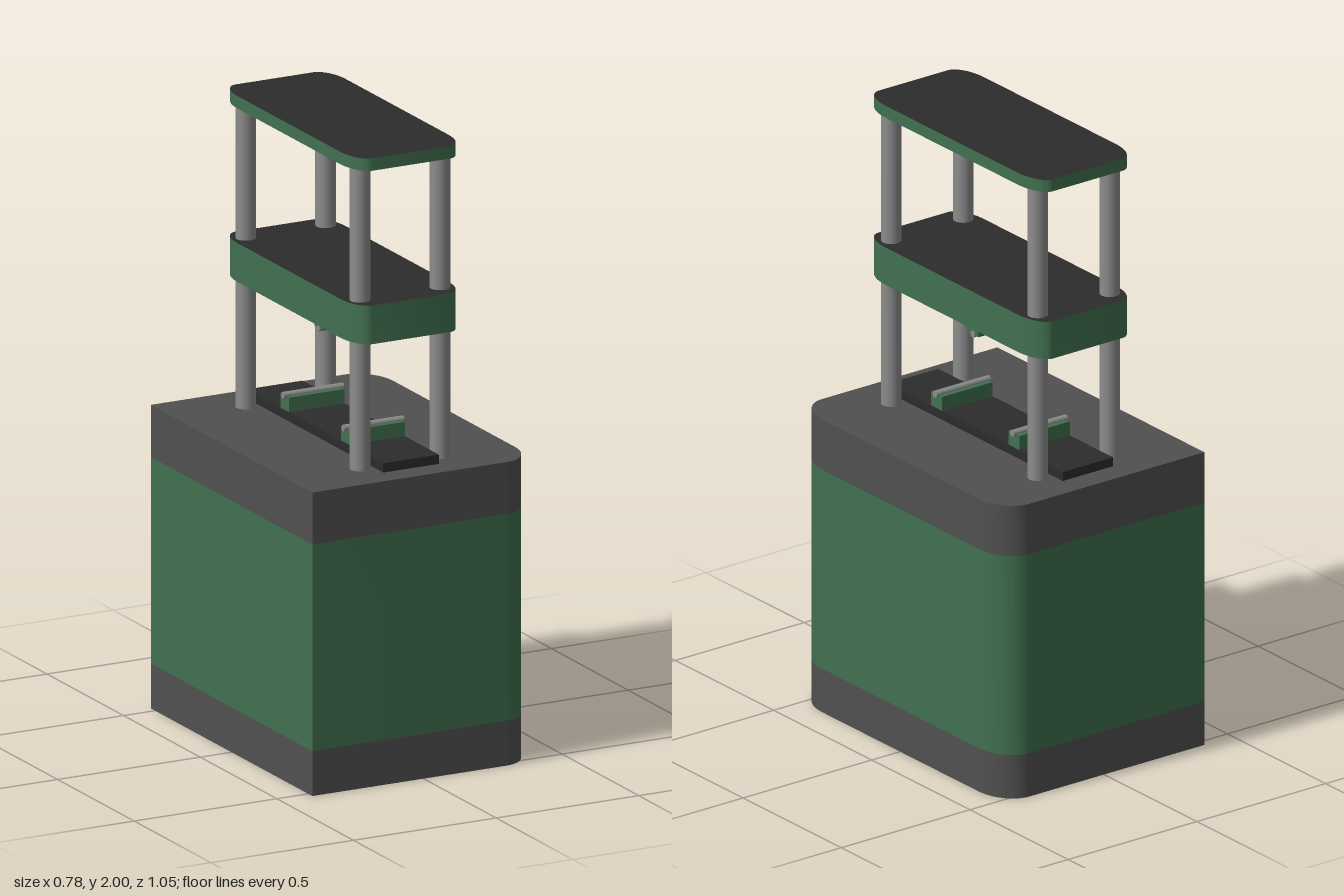
import * as THREE from 'three';
import { toCreasedNormals } from 'three/addons/utils/BufferGeometryUtils.js';

const mat = (color) => new THREE.MeshStandardMaterial({ color });

export function createModel() {
  const model = new THREE.Group();
  const green = mat(0x41704f), dark = mat(0x505050), black = mat(0x2c2c2c), steel = mat(0x8c8c8c);

  const add = (name, geometry, material, x = 0, y = 0, z = 0) => {
    const mesh = new THREE.Mesh(geometry, material);
    mesh.name = name;
    mesh.position.set(x, y, z);
    model.add(mesh);
    return mesh;
  };
  const box = (name, material, w, y0, y1, d, x = 0, z = 0) =>
    add(name, new THREE.BoxGeometry(w, y1 - y0, d), material, x, (y0 + y1) / 2, z);

  // Slab with elliptical corners; the -x corners may stay square
  const slab = (name, materials, hx, hz, rx, rz, y0, y1, roundBack) => {
    const s = new THREE.Shape();
    s.moveTo(hx, -hz + rz);
    s.lineTo(hx, hz - rz);
    s.absellipse(hx - rx, hz - rz, rx, rz, 0, Math.PI / 2, false, 0);
    if (roundBack) {
      s.absellipse(-hx + rx, hz - rz, rx, rz, Math.PI / 2, Math.PI, false, 0);
      s.absellipse(-hx + rx, -hz + rz, rx, rz, Math.PI, Math.PI * 1.5, false, 0);
    } else {
      s.lineTo(-hx, hz);
      s.lineTo(-hx, -hz);
    }
    s.absellipse(hx - rx, -hz + rz, rx, rz, Math.PI * 1.5, Math.PI * 2, false, 0);
    const g = new THREE.ExtrudeGeometry(s, { depth: y1 - y0, bevelEnabled: false, curveSegments: 10 });
    g.rotateX(-Math.PI / 2);
    return add(name, toCreasedNormals(g, 0.6), materials, 0, y0, 0);
  };

  // Cabinet in three bands
  slab('cabinetFoot', dark, 0.39, 0.527, 0.1, 0.13, 0, 0.145, false);
  slab('cabinetBody', green, 0.39, 0.527, 0.1, 0.13, 0.145, 0.812, false);
  slab('cabinetTop', dark, 0.39, 0.527, 0.1, 0.13, 0.812, 0.98, false);

  // Crosshead and top plate: dark faces, green rims
  slab('crosshead', [black, green], 0.19, 0.445, 0.055, 0.11, 1.4, 1.525, true);
  slab('topPlate', [black, green], 0.19, 0.445, 0.055, 0.11, 1.96, 2, true);

  // Four columns
  for (const x of [-0.14, 0.14])
    for (const z of [-0.373, 0.373])
      add('column', new THREE.CylinderGeometry(0.032, 0.032, 0.98, 24), steel, x, 1.47, z);

  // Bed with two lower supports, each carrying a roller
  const roller = (name, y, z, length, x = 0) => {
    const r = add(name, new THREE.CylinderGeometry(0.011, 0.011, length, 16), steel, x, y, z);
    r.rotation.z = Math.PI / 2;
  };
  box('bed', black, 0.195, 0.98, 1.01, 0.89);
  for (const z of [-0.197, 0.197]) {
    box('lowerSupport', green, 0.195, 1.01, 1.057, 0.056, 0, z);
    roller('lowerRoller', 1.058, z, 0.21);
  }

  // Loading head under the crosshead
  add('ram', new THREE.CylinderGeometry(0.047, 0.047, 0.036, 24), steel, -0.003, 1.382, 0);
  box('headPlate', black, 0.135, 1.354, 1.365, 0.205);
  box('headNeck', green, 0.135, 1.342, 1.354, 0.056);
  box('headBlock', green, 0.19, 1.324, 1.345, 0.054, 0.011);
  roller('upperRoller', 1.326, 0, 0.195, 0.011);

  return model;
}
